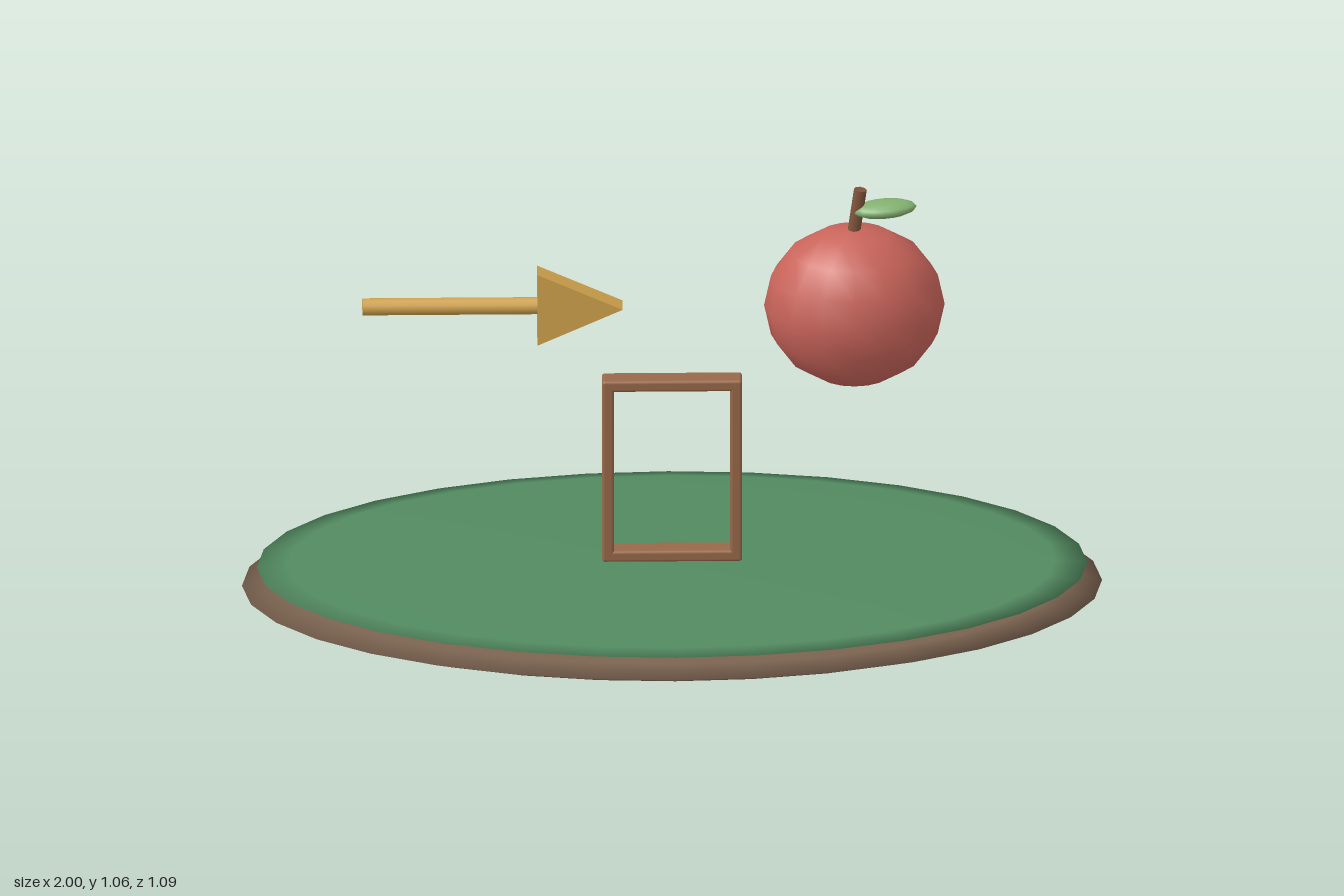
import * as THREE from 'three';
import { RoundedBoxGeometry } from 'three/addons/geometries/RoundedBoxGeometry.js';

const paint = (color) => new THREE.MeshStandardMaterial({ color });

function add(parent, name, geometry, material, x, y, z = 0) {
  const mesh = new THREE.Mesh(geometry, material);
  mesh.name = name;
  mesh.position.set(x, y, z);
  parent.add(mesh);
  return mesh;
}

// Sphere stretched to three radii
const ellipsoid = (rx, ry, rz, sides, rings) =>
  new THREE.SphereGeometry(1, sides, rings).scale(rx, ry, rz);

export function createModel() {
  const model = new THREE.Group();
  model.name = 'appleAndArrowScene';

  // Oval ground: earth with a thin grass layer
  add(model, 'earthBase', ellipsoid(1, 0.0575, 0.545, 32, 8), paint(0x7a624f), 0, 0.0575);
  add(model, 'grassLayer', ellipsoid(0.966, 0.019, 0.522, 32, 8), paint(0x528a60), 0, 0.104);

  // Upright rectangular frame, made of bars with softened edges
  const frame = new THREE.Group();
  frame.name = 'frame';
  model.add(frame);
  const wood = paint(0x99694a);
  const thick = 0.028, depth = 0.054;
  for (const side of [-1, 1]) {
    add(frame, side > 0 ? 'leftPost' : 'rightPost',
      new RoundedBoxGeometry(thick, 0.455, depth, 2, 0.007), wood, side * 0.149, 0.353);
    add(frame, side > 0 ? 'topBar' : 'bottomBar',
      new RoundedBoxGeometry(0.326, thick, depth, 2, 0.007), wood, 0, 0.353 + side * 0.217);
  }

  // Arrow: round shaft and flat triangular head
  const arrow = new THREE.Group();
  arrow.name = 'arrow';
  arrow.position.y = 0.768;
  model.add(arrow);
  const gold = paint(0xd2a44e);
  add(arrow, 'arrowShaft',
    new THREE.CylinderGeometry(0.02, 0.02, 0.42, 12).rotateZ(Math.PI / 2), gold, -0.51, 0);
  const triangle = new THREE.Shape([
    new THREE.Vector2(-0.313, -0.09),
    new THREE.Vector2(-0.115, 0),
    new THREE.Vector2(-0.313, 0.09),
  ]);
  add(arrow, 'arrowHead',
    new THREE.ExtrudeGeometry(triangle, { depth: 0.054, bevelEnabled: false }), gold, 0, 0, -0.027);

  // Apple with a leaning stem and one leaf
  const apple = new THREE.Group();
  apple.name = 'apple';
  model.add(apple);
  add(apple, 'appleBody', ellipsoid(0.21, 0.195, 0.172, 16, 8), paint(0xc9645a), 0.424, 0.766);
  const stem = add(apple, 'stem',
    new THREE.CylinderGeometry(0.015, 0.015, 0.13, 8), paint(0x80553c), 0.429, 0.995);
  stem.rotation.z = -0.14;
  const leaf = add(apple, 'leaf', ellipsoid(0.075, 0.02, 0.038, 16, 8), paint(0x82b070), 0.494, 1.01);
  leaf.rotation.z = 0.08;

  return model;
}
